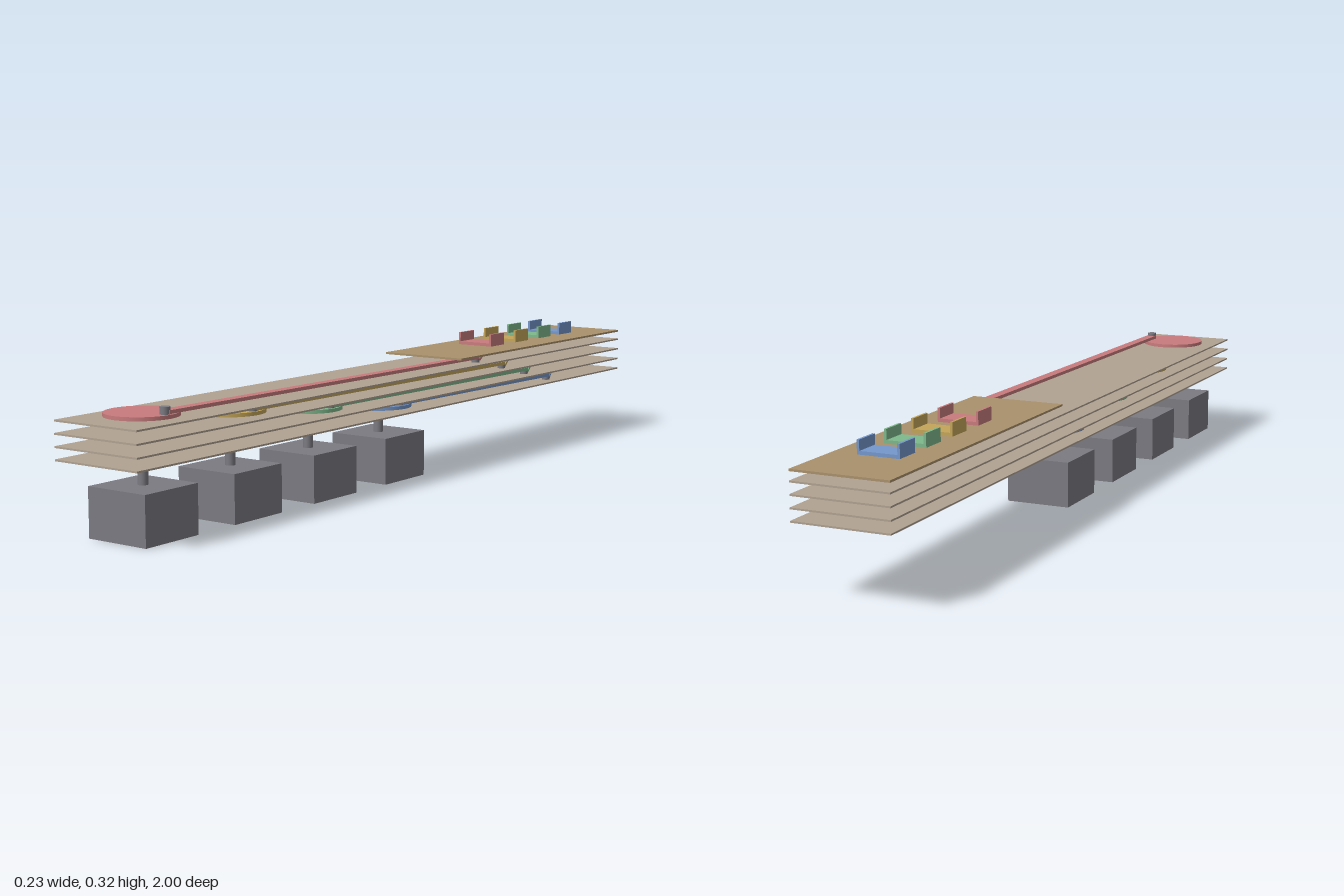
import * as THREE from 'three';

const mat = (name, color, side = THREE.FrontSide) => {
  const m = new THREE.MeshStandardMaterial({ color, side });
  m.name = name;
  return m;
};

export function createModel() {
  const root = new THREE.Group();
  root.name = 'linkageMachine';
  const steel = mat('steel grey', 0x7b7a81);
  const board = mat('pale board', 0xb0a291);
  const wood = mat('brown wood', 0xaa916b);

  const add = (parent, name, geo, material, x, y, z) => {
    const m = new THREE.Mesh(geo, material);
    m.name = name;
    m.position.set(x, y, z);
    parent.add(m);
    return m;
  };
  const box = (p, name, m, w, h, d, x, y, z) => add(p, name, new THREE.BoxGeometry(w, h, d), m, x, y, z);
  // Vertical cylinder from y0 to y1
  const rod = (p, name, m, r, y0, y1, x, z, n = 24) =>
    add(p, name, new THREE.CylinderGeometry(r, r, y1 - y0, n), m, x, (y0 + y1) / 2, z);
  // Flat bar between two points (x, z) at height y
  const bar = (p, name, m, w, h, a, b, y) => {
    const dx = b[0] - a[0], dz = b[1] - a[1];
    const mesh = box(p, name, m, w, h, Math.hypot(dx, dz), (a[0] + b[0]) / 2, y, (a[1] + b[1]) / 2);
    mesh.rotation.y = Math.atan2(dx, dz);
  };

  // One layer per colour, from the top down
  const layers = [
    { name: 'red', color: 0xc87b7d, plate: 0.257, motor: 0.86, hinge: -0.29, cradle: -0.455 },
    { name: 'yellow', color: 0xc4a559, plate: 0.229, motor: 0.578, hinge: -0.415, cradle: -0.578 },
    { name: 'green', color: 0x7fb98c, plate: 0.201, motor: 0.297, hinge: -0.53, cradle: -0.697 },
    { name: 'blue', color: 0x7597cc, plate: 0.173, motor: 0.015, hinge: -0.645, cradle: -0.81 },
  ];

  for (const l of layers) {
    const g = new THREE.Group();
    g.name = l.name + 'Layer';
    root.add(g);
    const paint = mat(l.name, l.color);
    const y = l.plate;

    box(g, 'layerPlate', board, 0.234, 0.004, 2, 0, y, 0);

    // Motor, shaft, crank disc and crank pin
    box(g, 'motor', steel, 0.163, 0.113, 0.163, 0, 0.0565, l.motor);
    rod(g, 'shaft', steel, 0.0115, 0.113, y + 0.005, 0, l.motor);
    rod(g, 'crankDisc', paint, 0.082, y + 0.004, y + 0.0125, 0, l.motor, 48);
    rod(g, 'crankPin', steel, 0.0115, y + 0.004, y + 0.029, 0.066, l.motor);

    // Push rod, hinge and the arm leading to the cradle
    bar(g, 'pushRod', paint, 0.025, 0.008, [0.066, l.motor], [0.088, l.hinge], y + 0.0175);
    rod(g, 'hingePin', steel, 0.01, y + 0.004, y + 0.0225, 0.088, l.hinge);
    bar(g, 'sliderArm', paint, 0.02, 0.008, [0.088, l.hinge], [0, l.cradle], y + 0.0085);

    // Post and U-shaped cradle above the top plate
    rod(g, 'cradlePost', paint, 0.0115, y + 0.005, 0.29, 0, l.cradle);
    box(g, 'cradleBase', paint, 0.102, 0.008, 0.065, 0, 0.29, l.cradle);
    for (const s of [-1, 1]) {
      box(g, 'cradleWall', paint, 0.006, 0.032, 0.065, s * 0.048, 0.302, l.cradle);
    }
  }

  // Short cover plate at the back
  box(root, 'topPlate', wood, 0.234, 0.005, 0.82, 0, 0.281, -0.59);
  return root;
}
